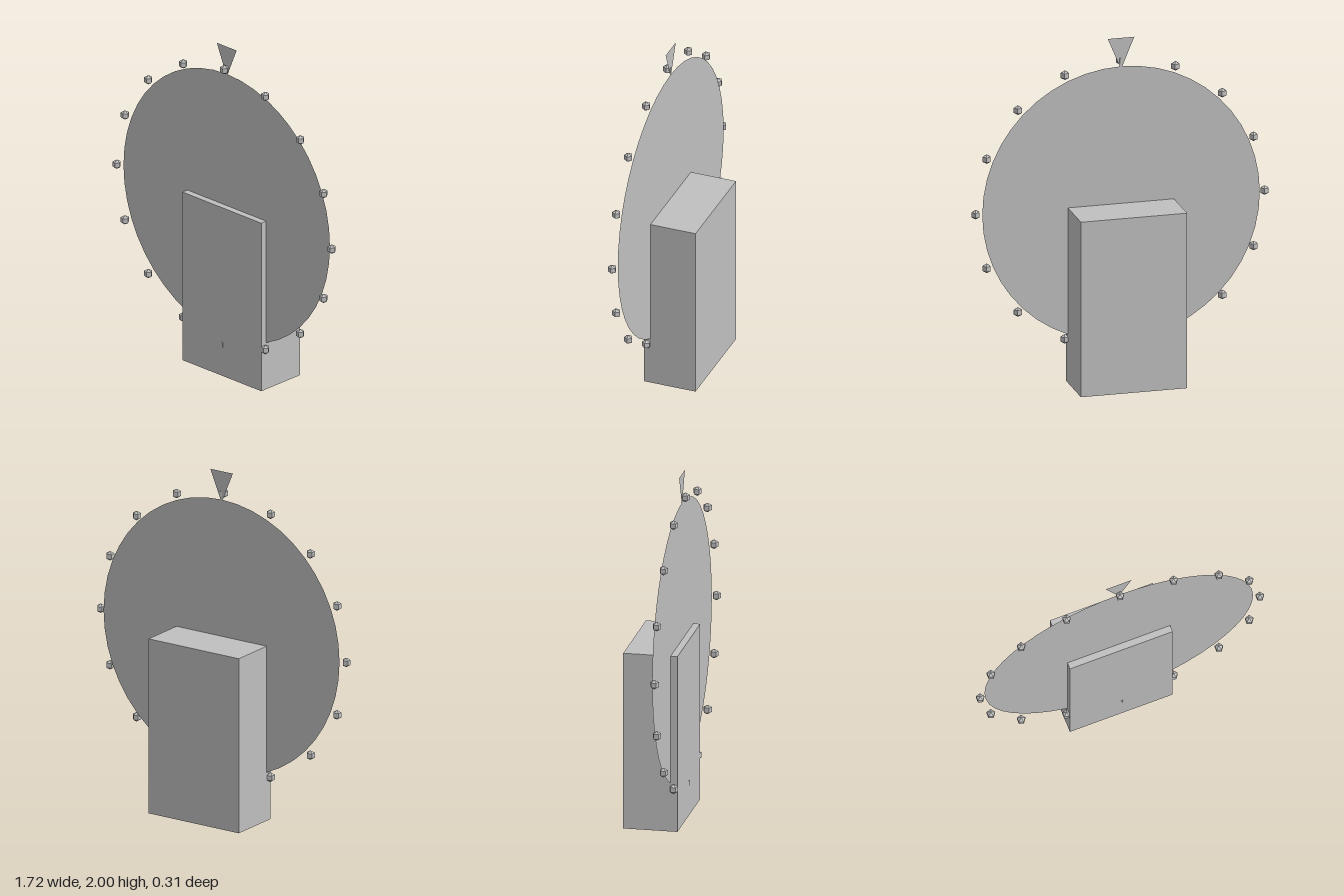
import * as THREE from 'three';

export function createModel() {
  const group = new THREE.Group();
  const grey = new THREE.MeshStandardMaterial({ color: 0xbfbfbf, side: THREE.DoubleSide });
  grey.name = 'plain grey';

  const add = (name, geometry, x, y, z) => {
    const mesh = new THREE.Mesh(geometry, grey);
    mesh.name = name;
    mesh.position.set(x, y, z);
    group.add(mesh);
    return mesh;
  };

  const cx = -0.002, cy = 1.028, discZ = 0.114;

  // Upright pedestal block
  add('pedestal', new THREE.BoxGeometry(0.616, cy, 0.31), cx, cy / 2, -0.002);

  // Paper-thin wheel disc
  add('wheelDisc', new THREE.CircleGeometry(0.805, 48), cx, cy, discZ);

  // Flat pointer aimed down at the rim
  const pointer = new THREE.Shape([
    new THREE.Vector2(-0.077, 2), new THREE.Vector2(0, 1.815), new THREE.Vector2(0.077, 2),
  ]);
  add('pointer', new THREE.ShapeGeometry(pointer), cx, 0, discZ);

  // Ring of sixteen faceted bulbs
  const bulb = new THREE.SphereGeometry(0.028, 5, 3).rotateY(Math.PI).toNonIndexed();
  bulb.computeVertexNormals();
  const count = 16, ring = 0.838;
  for (let i = 0; i < count; i++) {
    const a = (i / count) * Math.PI * 2;
    add('bulb' + (i + 1), bulb, cx + ring * Math.cos(a), cy + ring * Math.sin(a), 0.134);
  }
  return group;
}
